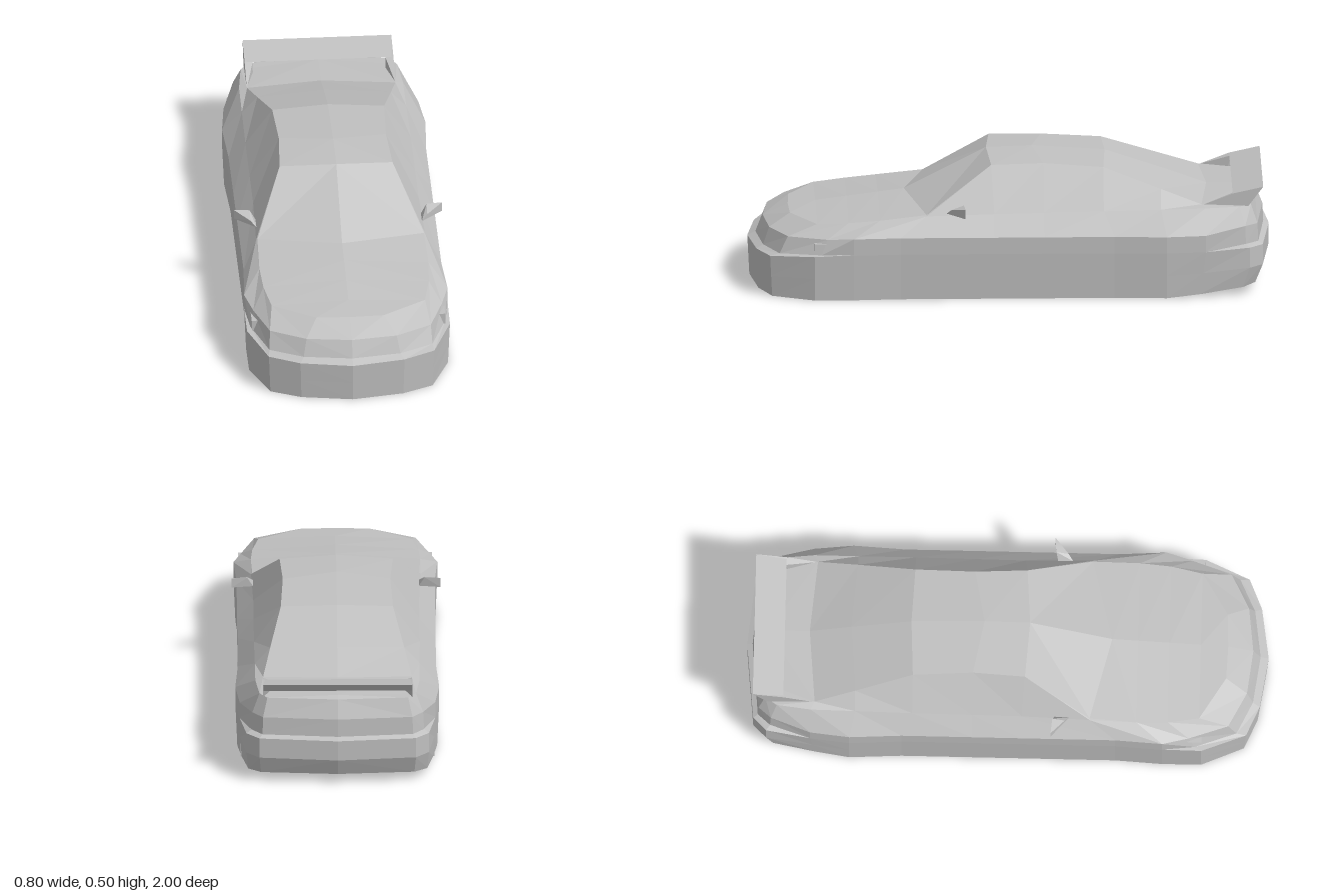
import * as THREE from 'three';
import { ConvexGeometry } from 'three/addons/geometries/ConvexGeometry.js';

const paint = new THREE.MeshStandardMaterial({ color: 0xc0c0c0, side: THREE.DoubleSide });
paint.name = 'silverGrey';

// Plan of the left half from nose to tail: bumper x, z, then shoulder x, z
const plan = [
  [0, 1, 0, 0.845], [0.2, 0.97, 0.13, 0.84], [0.318, 0.92, 0.295, 0.74], [0.39, 0.75, 0.318, 0.62],
  [0.391, 0.6, 0.325, 0.5], [0.38, 0.42, 0.325, 0.32], [0.38, 0.06, 0.318, 0.06], [0.38, -0.13, 0.318, -0.13],
  [0.38, -0.4, 0.318, -0.36], [0.391, -0.6, 0.316, -0.58], [0.375, -0.75, 0.315, -0.75],
  [0.35, -0.92, 0.3, -0.88], [0.3, -0.97, 0.27, -0.925], [0, -1, 0, -0.945],
];
// Cabin from windshield base to deck: edge x, y, z, then centre y, z
const cabinStart = 5;
const cabin = [
  [0.32, 0.32, 0.32, 0.337, 0.4], [0.217, 0.489, 0.07, 0.499, 0.085], [0.206, 0.492, -0.13, 0.505, -0.09],
  [0.215, 0.477, -0.36, 0.487, -0.37], [0.257, 0.4, -0.58, 0.41, -0.6], [0.285, 0.346, -0.735, 0.352, -0.76],
];

// One rib, bottom to top: bottom, middle, bumper top, ledge, belt, shoulder, top edge, centre line
function makeRib([x, z, sx, sz], i) {
  const nose = z > 0.7, tail = z < -0.85;
  const inset = (t, y) => [x + (sx - x) * t, y, z + (sz - z) * t];
  const bumperY = tail ? 0.19 : Math.min(0.18, 0.155 + Math.max(0, 1 - z) * 0.08);
  const shoulderY = sz > 0.32 ? Math.max(0.28, 0.316 - 0.09 * (sz - 0.32)) : 0.316 + 0.02 * (0.32 - sz);

  const bumper = [x, bumperY, z];
  const bottom = [x * 0.98, Math.max(0, (-z - 0.66) * 0.12), z < -0.7 ? z * 0.97 : z > 0.9 ? z - 0.008 : z];
  const middle = tail ? [x, 0.11, z] : bottom.map((v, k) => (v + bumper[k]) / 2);
  const ledge = inset(nose ? 0.2 : tail ? 0.38 : 0, tail ? 0.2 : Math.max(0.17, bumperY + 0.003));
  const belt = inset(nose ? 0.38 : tail ? 0.45 : 0, nose ? 0.236 : tail ? 0.27 : 0.245);
  const shoulder = [sx, shoulderY, sz];

  // Hood and deck run straight in from the shoulder; the cabin rises above it
  let edge = shoulder;
  const hoodZ = Math.min(sz, 0.74);
  let centre = tail ? [0, 0.35, -0.92] : [0, 0.337 - 0.13 * (hoodZ - 0.4), hoodZ];
  const c = cabin[i - cabinStart];
  if (c) {
    edge = c.slice(0, 3);
    centre = [0, c[3], c[4]];
  }
  return [bottom, middle, bumper, ledge, belt, shoulder, edge, centre];
}
const ribs = plan.map(makeRib);

const mirrorX = ([x, y, z]) => [-x, y, z];

// Flat-faced mesh from a list of triangles
function faceMesh(name, tris) {
  const g = new THREE.BufferGeometry();
  g.setAttribute('position', new THREE.Float32BufferAttribute(tris.flat(2), 3));
  g.computeVertexNormals();
  const m = new THREE.Mesh(g, paint);
  m.name = name;
  return m;
}

// Two triangles, leaving out any that collapse to a line
function quad(a, b, c, d) {
  const same = (p, q) => p.every((v, i) => v === q[i]);
  return [[a, b, c], [a, c, d]].filter(([p, q, r]) => !same(p, q) && !same(q, r) && !same(p, r));
}

// Skin between two rows, both sides of the car
function skin(name, from, to) {
  const tris = [];
  for (let i = 0; i < ribs.length - 1; i++) {
    for (let j = from; j < to; j++) {
      tris.push(...quad(ribs[i][j], ribs[i + 1][j], ribs[i + 1][j + 1], ribs[i][j + 1]));
    }
  }
  return faceMesh(name, [...tris, ...tris.map(([a, b, c]) => [a, c, b].map(mirrorX))]);
}

// Underside of a bumper between two ribs
function bumperFloor(name, first, last) {
  const tris = [];
  for (let i = first; i < last; i++) {
    const a = ribs[i][0], b = ribs[i + 1][0];
    tris.push(...quad(a, mirrorX(a), mirrorX(b), b));
  }
  return faceMesh(name, tris);
}

function hull(name, pts) {
  const m = new THREE.Mesh(new ConvexGeometry(pts.map(p => new THREE.Vector3(...p))), paint);
  m.name = name;
  return m;
}

export function createModel() {
  const car = new THREE.Group();
  car.name = 'car';

  // Outer skin
  car.add(
    skin('bumpersAndSills', 0, 3),
    skin('lightBandAndFlanks', 3, 4),
    skin('shoulders', 4, 5),
    skin('sideWindows', 5, 6),
    skin('hoodRoofAndDeck', 6, 7),
  );

  // Underside: floor pan between two wheel bays that run the full width
  const w = 0.372, top = 0.22, front = 0.75, rear = -0.7275;
  const pan = new THREE.Mesh(new THREE.BoxGeometry(2 * w, top, 0.81), paint);
  pan.name = 'floorPan';
  pan.position.set(0, top / 2, 0.005);
  car.add(pan, bumperFloor('frontBumperFloor', 0, 3), bumperFloor('rearBumperFloor', 10, 13));
  car.add(
    faceMesh('frontBayWall', quad([w, 0, front], [-w, 0, front], [-w, top, front], [w, top, front])),
    faceMesh('rearBayWall', quad([-w, 0.01, rear], [w, 0.01, rear], [w, top, rear], [-w, top, rear])),
    faceMesh('bayCeiling', quad([w, top, front], [-w, top, front], [-w, top, rear], [w, top, rear])),
  );

  // Rear wing
  const wing = [[0.387, -0.855], [0.414, -0.972], [0.378, -0.945]];
  car.add(hull('spoilerWing', [-0.285, 0.285].flatMap(x => wing.map(([y, z]) => [x, y, z]))));

  // Wing supports and door mirrors on each side
  for (const side of [1, -1]) {
    const place = pts => pts.map(([x, y, z]) => [x * side, y, z]);
    const label = side > 0 ? 'left' : 'right';
    car.add(hull(label + 'SpoilerSupport', place([
      [0.286, 0.342, -0.735], [0.286, 0.388, -0.855], [0.286, 0.414, -0.972],
      [0.286, 0.338, -0.915], [0.255, 0.34, -0.85], [0.255, 0.385, -0.86],
    ])));
    car.add(hull(label + 'Mirror', place([
      [0.4, 0.325, 0.172], [0.4, 0.363, 0.172], [0.34, 0.363, 0.178],
      [0.318, 0.325, 0.185], [0.318, 0.325, 0.243], [0.34, 0.345, 0.225],
    ])));
  }
  return car;
}
